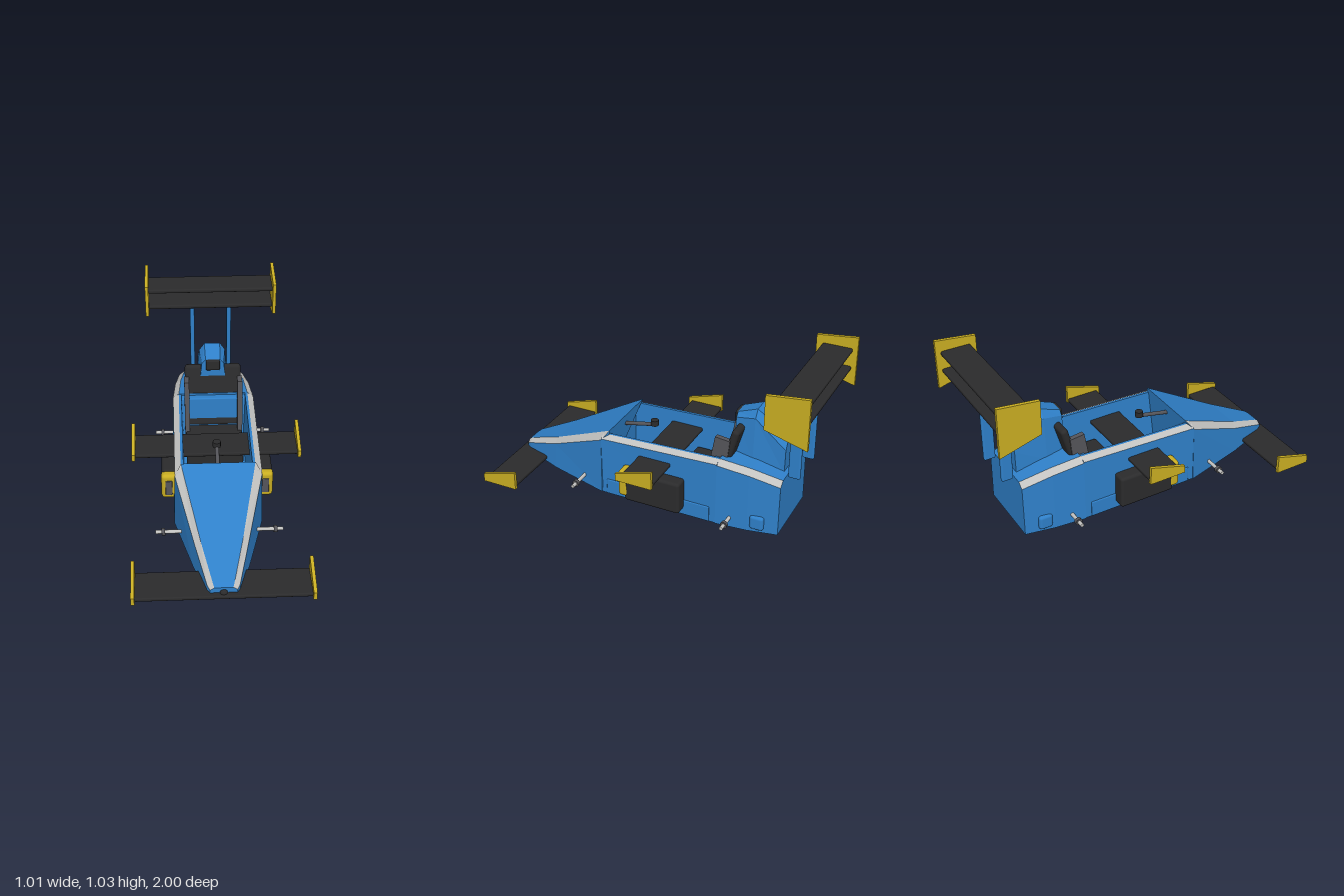
import * as THREE from 'three';
import { RoundedBoxGeometry } from 'three/addons/geometries/RoundedBoxGeometry.js';

const material = (name, color) => {
  const m = new THREE.MeshStandardMaterial({ color });
  m.name = name;
  return m;
};

// Loft mirrored half sections (bottom to top, ordered back to front).
// Strips listed in `stripes` fall in the second material group.
function loft(halves, stripes = [], caps = true) {
  const rings = halves.map((h) => [...h, ...h.slice().reverse().map(([x, y, z]) => [-x, y, z])]);
  const n = rings[0].length;
  const base = [], accent = [];
  for (let i = 0; i + 1 < rings.length; i++) {
    const b = rings[i], f = rings[i + 1];
    for (let j = 0; j < n; j++) {
      const k = (j + 1) % n;
      const out = stripes.includes(j) || stripes.includes(n - 2 - j) ? accent : base;
      out.push(...b[j], ...b[k], ...f[k], ...b[j], ...f[k], ...f[j]);
    }
  }
  if (caps) {
    const b = rings[0], f = rings[rings.length - 1];
    for (let j = 1; j + 1 < n; j++) {
      base.push(...f[0], ...f[j], ...f[j + 1]);
      base.push(...b[0], ...b[j + 1], ...b[j]);
    }
  }
  const g = new THREE.BufferGeometry();
  g.setAttribute('position', new THREE.Float32BufferAttribute([...base, ...accent], 3));
  g.addGroup(0, base.length / 3, 0);
  g.addGroup(base.length / 3, accent.length / 3, 1);
  g.computeVertexNormals();
  return g;
}

// Plate with a (z, y) outline, centred on x = 0
function sidePlate(points, thickness) {
  const shape = new THREE.Shape(points.map(([z, y]) => new THREE.Vector2(-z, y)));
  const g = new THREE.ExtrudeGeometry(shape, { depth: thickness, bevelEnabled: false });
  return g.translate(0, 0, -thickness / 2).rotateY(Math.PI / 2);
}

export function createModel() {
  const car = new THREE.Group();
  car.name = 'openCockpitCar';
  const blue = material('bodyBlue', 0x2f80c9);
  const yellow = material('plateYellow', 0xc9ae22);
  const black = material('wingBlack', 0x2b2b2c);
  const grey = material('trimGrey', 0x55555a);
  const silver = material('stripeSilver', 0xc2c2c0);

  const add = (name, geometry, mat, x = 0, y = 0, z = 0) => {
    const mesh = new THREE.Mesh(geometry, mat);
    mesh.name = name;
    mesh.position.set(x, y, z);
    car.add(mesh);
    return mesh;
  };
  // Rounded box from its limits
  const box = (name, mat, [x0, x1], [y0, y1], [z0, z1], r = 0.008) =>
    add(name, new RoundedBoxGeometry(x1 - x0, y1 - y0, z1 - z0, 2, r), mat,
      (x0 + x1) / 2, (y0 + y1) / 2, (z0 + z1) / 2);
  // The same box on both sides
  const pair = (name, mat, [x0, x1], y, z, r) => {
    box(name + 'Left', mat, [x0, x1], y, z, r);
    box(name + 'Right', mat, [-x1, -x0], y, z, r);
  };
  const platePair = (name, mat, points, x, thickness) => {
    for (const s of [1, -1])
      add(name + (s > 0 ? 'Left' : 'Right'), sidePlate(points, thickness), mat, s * x);
  };

  // Body shells with silver shoulder stripes
  add('nose', loft([
    [[0.26, 0, 0.315], [0.252, 0.36, 0.315], [0.215, 0.415, 0.275]],
    [[0.16, 0.008, 0.7], [0.15, 0.175, 0.7], [0.118, 0.207, 0.7]],
    [[0.092, 0.03, 0.93], [0.09, 0.088, 0.93], [0.06, 0.11, 0.93]],
    [[0.075, 0.035, 0.955], [0.075, 0.075, 0.955], [0.052, 0.092, 0.955]],
  ], [1]), [blue, silver]);

  const tubSection = (z, h) => [[0.255, 0, z], [0.252, h - 0.02, z], [0.216, h, z],
    [0.2, h, z], [0.19, 0.08, z]];
  add('cockpitTub', loft([tubSection(-0.43, 0.415), tubSection(0.315, 0.388)], [1], false),
    [blue, silver]);

  add('rearBody', loft([
    [[0.215, 0.005, -0.8], [0.208, 0.32, -0.8], [0.172, 0.35, -0.8]],
    [[0.243, 0, -0.62], [0.236, 0.365, -0.62], [0.2, 0.395, -0.62]],
    [[0.26, 0, -0.43], [0.252, 0.39, -0.43], [0.215, 0.418, -0.43]],
  ], [1]), [blue, silver]);
  box('cockpitRearDeck', blue, [-0.2, 0.2], [0.06, 0.405], [-0.45, -0.39]);
  pair('sideSkirt', blue, [0.22, 0.261], [0, 0.1], [-0.39, 0.28], 0.006);
  pair('rearBump', blue, [0.21, 0.25], [0.02, 0.11], [-0.72, -0.635], 0.018);

  // Headrest fairing
  add('headrestFairing', loft([
    [[0.09, 0.34, -0.775], [0.085, 0.49, -0.775], [0.045, 0.56, -0.775]],
    [[0.1, 0.38, -0.585], [0.08, 0.645, -0.585], [0.048, 0.692, -0.585]],
    [[0.088, 0.4, -0.465], [0.068, 0.62, -0.465], [0.045, 0.645, -0.465]],
  ]), [blue, blue]);
  box('headrestPad', black, [-0.043, 0.043], [0.575, 0.645], [-0.475, -0.447]);

  // Seat
  box('seatBase', black, [-0.175, 0.175], [0.07, 0.2], [-0.4, -0.12]);
  add('seatBack', new RoundedBoxGeometry(0.35, 0.4, 0.045, 2, 0.02), black, 0, 0.395, -0.452)
    .rotation.x = -0.27;
  platePair('seatBolster', grey,
    [[-0.32, 0.17], [-0.385, 0.53], [-0.475, 0.52], [-0.44, 0.17]], 0.165, 0.03);

  // Steering column and knob
  const column = new THREE.LineCurve3(new THREE.Vector3(0, 0.35, 0.3), new THREE.Vector3(0, 0.395, 0.085));
  add('steeringColumn', new THREE.TubeGeometry(column, 1, 0.012, 10), grey);
  add('steeringKnob', new THREE.CylinderGeometry(0.024, 0.024, 0.035, 12), black, 0, 0.408, 0.085);
  add('noseCap', new THREE.SphereGeometry(0.024, 14, 10), black, 0, 0.055, 0.95);

  // Wings and their end plates
  box('frontWing', black, [-0.487, 0.487], [0.032, 0.056], [0.78, 0.985]);
  platePair('frontWingPlate', yellow, [[1, 0.025], [1, 0.075], [0.775, 0.14], [0.775, 0.025]], 0.495, 0.02);
  box('middleWing', black, [-0.487, 0.487], [0.298, 0.322], [-0.14, 0.065]);
  platePair('middleWingPlate', yellow,
    [[0.085, 0.293], [0.085, 0.338], [-0.143, 0.405], [-0.143, 0.293]], 0.495, 0.02);
  for (const [name, y] of [['rearWingLower', 0.833], ['rearWingUpper', 0.945]])
    box(name, black, [-0.392, 0.392], [y - 0.013, y + 0.013], [-0.972, -0.793], 0.01);
  platePair('rearWingPlate', yellow,
    [[-0.755, 0.795], [-0.755, 1], [-1, 1.028], [-1, 0.725]], 0.4, 0.02);
  pair('rearWingStrut', blue, [0.103, 0.131], [0.35, 0.825], [-0.88, -0.81], 0.01);

  // Side pods with intakes
  pair('sidePod', black, [0.24, 0.33], [0.04, 0.245], [-0.23, 0.125], 0.018);
  pair('podIntakeFrame', yellow, [0.24, 0.334], [0.065, 0.238], [0.1, 0.165], 0.022);
  pair('podIntake', grey, [0.267, 0.31], [0.095, 0.2], [0.155, 0.169], 0.005);

  // Axle stubs with nuts
  for (const z of [0.455, -0.515]) {
    for (const s of [1, -1]) {
      const cylinder = (name, r, length, mat, x) =>
        add(name, new THREE.CylinderGeometry(r, r, length, 14), mat, s * x, 0.06, z)
          .rotation.z = Math.PI / 2;
      cylinder('axleStub', 0.011, 0.19, silver, 0.275);
      cylinder('axleNut', 0.021, 0.02, grey, 0.325);
    }
  }
  return car;
}
